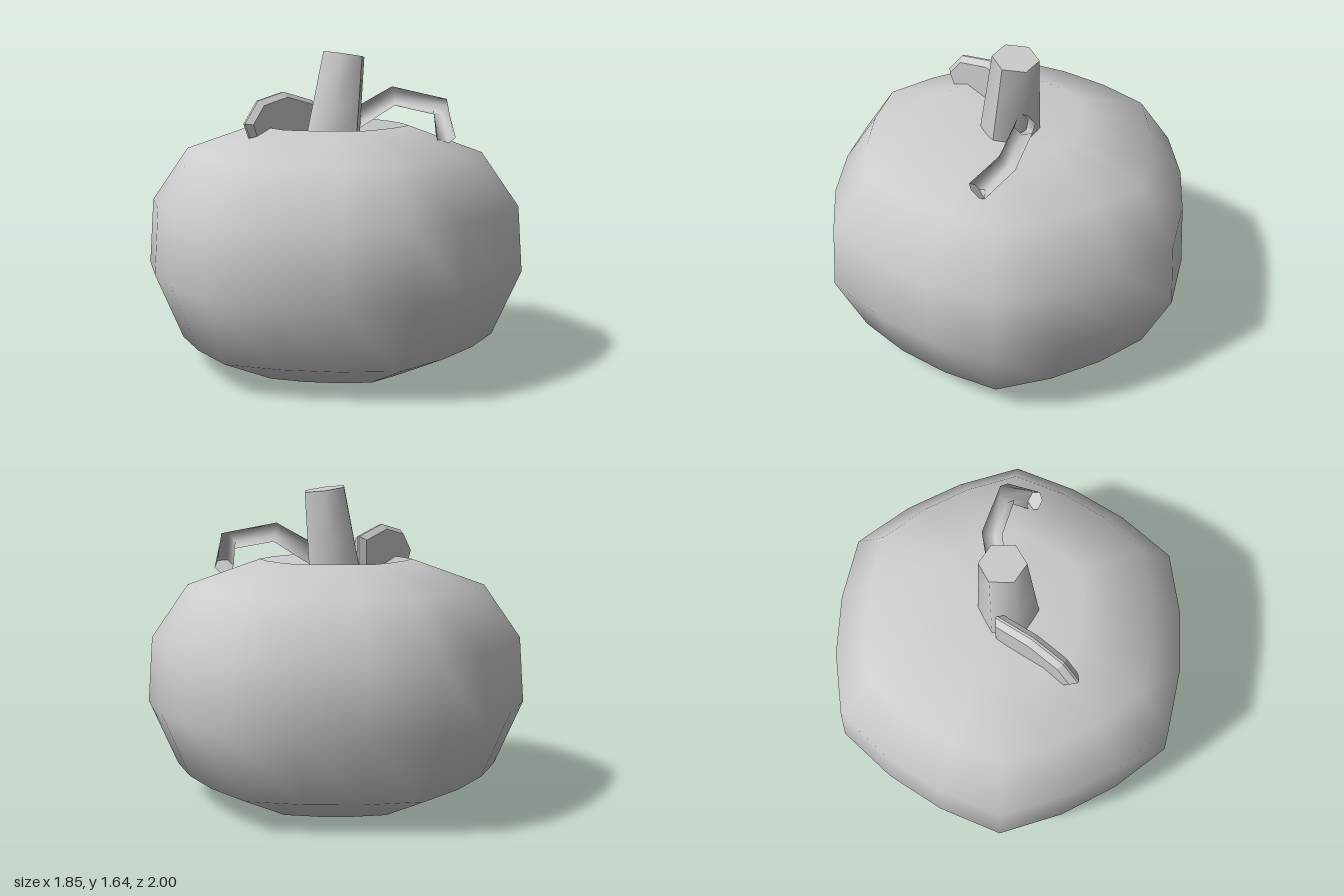
import * as THREE from 'three';
import { mergeVertices } from 'three/addons/utils/BufferGeometryUtils.js';

const material = new THREE.MeshStandardMaterial({ color: 0xcccccc });

function addMesh(group, name, geometry) {
  const mesh = new THREE.Mesh(geometry, material);
  mesh.name = name;
  group.add(mesh);
  return mesh;
}

// Welds a geometry so that its normals run smoothly across every seam
function smooth(geometry) {
  geometry.deleteAttribute('uv');
  geometry.deleteAttribute('normal');
  const welded = mergeVertices(geometry, 1e-4);
  welded.computeVertexNormals();
  return welded;
}

// Squat body of 18 sides: every third column is a rib, the two between are sunk
function bodyGeometry() {
  const profile = [[0, 0.04], [0.51, 0], [0.85, 0.155], [1, 0.495], [0.975, 0.84],
    [0.78, 1.12], [0.4, 1.255], [0, 1.14]].map(([r, y]) => new THREE.Vector2(r, y));
  const geometry = new THREE.LatheGeometry(profile, 18);
  const p = geometry.attributes.position;
  for (let i = 0; i < p.count; i++) {
    const column = Math.floor(i / profile.length);
    const k = column % 3 === 0 ? 1 : 0.94;
    p.setXYZ(i, p.getX(i) * k, p.getY(i), p.getZ(i) * k);
  }
  return smooth(geometry);
}

// Six-sided stem, tapering and leaning to +x with a sloped top
function stemGeometry() {
  const height = 0.52;
  const geometry = new THREE.CylinderGeometry(0.116, 0.16, height, 6, 2);
  geometry.rotateY(Math.PI / 6);
  const p = geometry.attributes.position;
  for (let i = 0; i < p.count; i++) {
    const t = p.getY(i) / height + 0.5;
    const x = p.getX(i);
    p.setXYZ(i, x + 0.075 * t - 0.008, 1.1 + height * t - 0.15 * x * t * t, p.getZ(i));
  }
  geometry.computeVertexNormals();
  return geometry;
}

// Six-sided tube with a mitred bend at each point of the path, closed at both ends
function vineGeometry(points, radius, sides = 6) {
  const path = points.map(a => new THREE.Vector3(...a));
  const last = path.length - 1;
  const direction = i => path[i + 1].clone().sub(path[i]).normalize();
  const up = new THREE.Vector3(0, 1, 0.3);
  const positions = [], index = [];
  path.forEach((c, i) => {
    const before = direction(Math.max(i - 1, 0));
    const after = direction(Math.min(i, last - 1));
    const tangent = before.clone().add(after).normalize();
    const side = new THREE.Vector3().crossVectors(tangent, up).normalize();
    const normal = new THREE.Vector3().crossVectors(side, tangent);
    for (let j = 0; j < sides; j++) {
      const a = j / sides * Math.PI * 2;
      const v = c.clone().addScaledVector(side, Math.cos(a) * radius)
        .addScaledVector(normal, Math.sin(a) * radius);
      positions.push(v.x, v.y, v.z);
      if (i < last) {
        const k = i * sides + j, n = i * sides + (j + 1) % sides;
        index.push(k, k + sides, n, n, k + sides, n + sides);
      }
    }
  });
  // Sides wind as seen from outside
  for (let k = 0; k < index.length; k += 3) [index[k + 1], index[k + 2]] = [index[k + 2], index[k + 1]];
  const geometry = new THREE.BufferGeometry();
  // End caps have their own corners, to stay flat
  const ring = sides * 3;
  positions.push(...positions.slice(0, ring), ...positions.slice(last * ring, last * ring + ring));
  const first = path.length * sides, end = first + sides;
  for (let j = 1; j < sides - 1; j++) {
    index.push(first, first + j + 1, first + j, end, end + j, end + j + 1);
  }
  geometry.setAttribute('position', new THREE.Float32BufferAttribute(positions, 3));
  geometry.setIndex(index);
  geometry.computeVertexNormals();
  return geometry;
}

// Thick upright leaf with bevelled rims
function leafGeometry() {
  const outline = [[0, 1.17], [0.2, 1.16], [0.41, 1.18], [0.455, 1.28], [0.375, 1.375],
    [0.2, 1.41], [0, 1.36]].map(([u, y]) => new THREE.Vector2(u, y));
  const geometry = new THREE.ExtrudeGeometry(new THREE.Shape(outline), {
    depth: 0.012, bevelEnabled: true, bevelThickness: 0.03, bevelSize: 0.025,
    bevelOffset: -0.005, bevelSegments: 1
  });
  geometry.translate(0, 0, -0.006);
  return geometry;
}

export function createModel() {
  const group = new THREE.Group();
  group.name = 'pumpkin';

  addMesh(group, 'body', bodyGeometry());
  addMesh(group, 'stem', stemGeometry());
  addMesh(group, 'vine', vineGeometry([[0.06, 1.24, 0], [0.16, 1.3, 0.02],
    [0.32, 1.4, 0.07], [0.505, 1.35, 0.25], [0.465, 1.205, 0.39]], 0.052));

  const leaf = addMesh(group, 'leaf', leafGeometry());
  leaf.position.set(-0.09, 0, -0.1);
  leaf.rotation.y = Math.PI + 0.45;

  return group;
}
